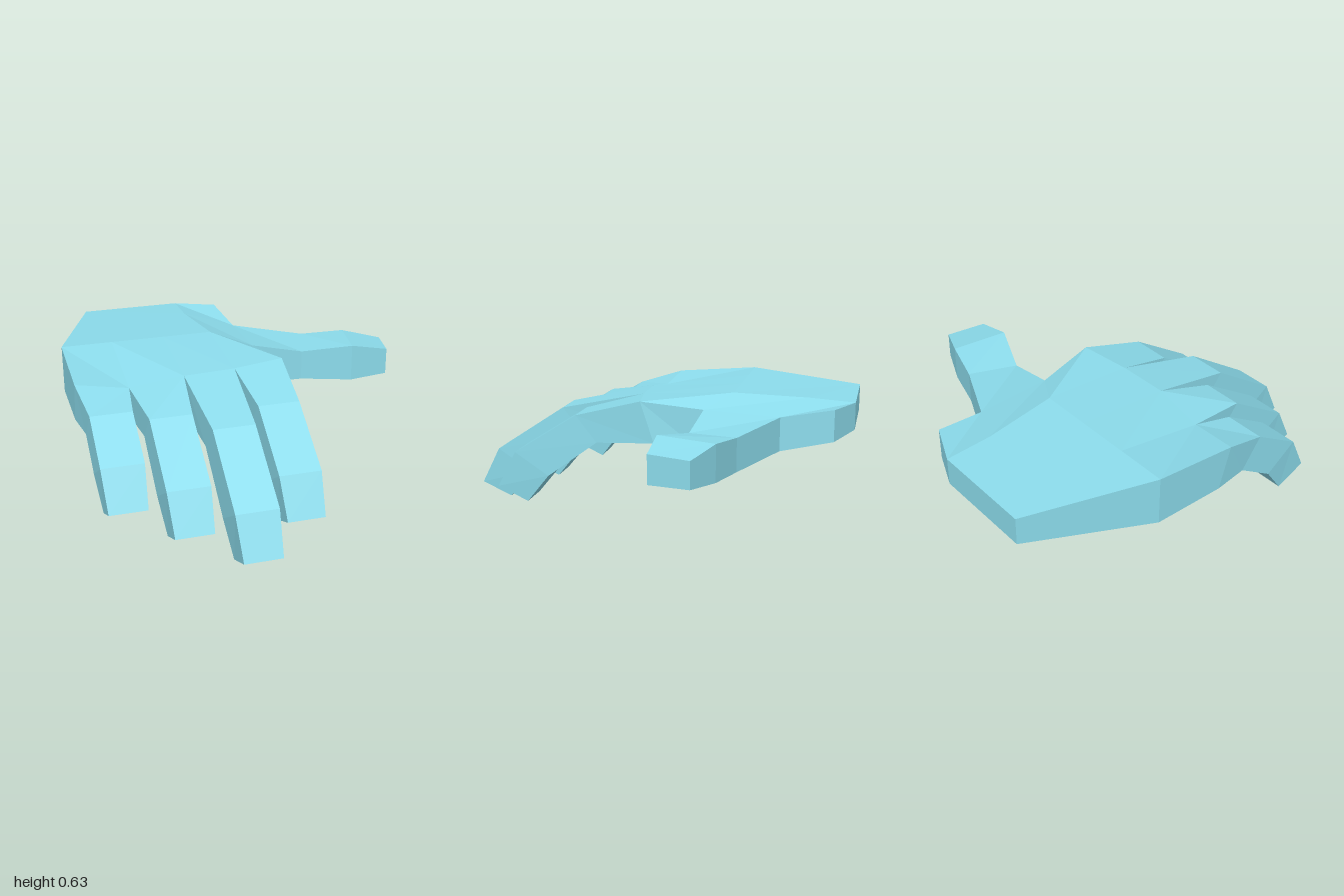
import * as THREE from 'three';

const material = new THREE.MeshStandardMaterial({ color: 0x8cdcec, flatShading: true });

// Flat-shaded mesh from polygons, each a list of [x, y, z] corners
function polyMesh(name, polygons) {
  const pos = [];
  for (const p of polygons)
    for (let i = 1; i < p.length - 1; i++) pos.push(...p[0], ...p[i], ...p[i + 1]);
  const geo = new THREE.BufferGeometry();
  geo.setAttribute('position', new THREE.Float32BufferAttribute(pos, 3));
  geo.computeVertexNormals();
  const mesh = new THREE.Mesh(geo, material);
  mesh.name = name;
  return mesh;
}

// Skin a chain of four-cornered rings and close the far end
function loft(name, rings) {
  const polys = [rings.at(-1)];
  for (let k = 0; k < rings.length - 1; k++)
    for (let i = 0; i < 4; i++) {
      const j = (i + 1) % 4;
      polys.push([rings[k][i], rings[k][j], rings[k + 1][j], rings[k + 1][i]]);
    }
  return polyMesh(name, polys);
}

// Palm points: x, z, top height, bottom height, z of the bottom corner if shifted
const P = {
  wristR: [-0.66, -1, 0.6, 0.46], wristL: [-0.14, -1, 0.6, 0.46],
  heel: [0.07, -0.91, 0.6, 0.44], thumbBack: [0.11, -0.65, 0.56, 0.39],
  thumbFront: [0.11, -0.27, 0.58, 0.36], side: [-0.88, -0.39, 0.635, 0.39],
  row1: [-0.62, -0.39, 0.635, 0.39], row2: [-0.35, -0.39, 0.635, 0.385],
  row3: [-0.09, -0.39, 0.635, 0.375], mid: [-0.14, -0.77, 0.615, 0.42],
  k0: [-0.88, 0.04, 0.6, 0.39, -0.02], k1: [-0.62, 0.07, 0.565, 0.4, 0.02],
  k2: [-0.35, 0.09, 0.605, 0.41, 0.02], k3: [-0.09, 0.08, 0.61, 0.41, 0.02],
  k4: [0.17, 0.04, 0.62, 0.41, -0.03],
};
const top = (n) => [P[n][0], P[n][2], P[n][1]];
const bottom = (n) => [P[n][0], P[n][3], P[n][4] ?? P[n][1]];
const opening = (a, b) => [top(a), bottom(a), bottom(b), top(b)];

function palm() {
  const panels = [
    'wristR side row1 row2 row3 mid', 'wristR mid wristL', 'wristL mid thumbBack heel',
    'mid row3 thumbFront thumbBack', 'side k0 k1 row1', 'row1 k1 k2 row2',
    'row2 k2 k3 row3', 'row3 k3 k4 thumbFront',
  ].map((s) => s.split(' '));
  const walls = [['wristR', 'side'], ['side', 'k0'], ['k4', 'thumbFront'],
    ['thumbBack', 'heel'], ['heel', 'wristL'], ['wristL', 'wristR']];
  return polyMesh('palm', [
    ...panels.map((f) => f.map(top)),
    ...panels.map((f) => f.map(bottom).reverse()),
    ...walls.map(([a, b]) => opening(a, b)),
  ]);
}

// Finger joints: top z, top y, bottom z, bottom y
const shortJoints = [[0.27, 0.53, 0.16, 0.39], [0.52, 0.38, 0.35, 0.27], [0.62, 0.19, 0.465, 0.12]];
const mediumJoints = [[0.38, 0.53, 0.27, 0.395], [0.71, 0.32, 0.53, 0.205], [0.81, 0.13, 0.65, 0.058]];
const longJoints = [[0.53, 0.51, 0.42, 0.375], [0.9, 0.265, 0.72, 0.15], [1, 0.07, 0.84, 0]];

function finger(name, index, x, joints) {
  const rings = [opening('k' + index, 'k' + (index + 1))];
  joints.forEach(([zt, yt, zb, yb], i) => {
    const wt = i === 2 ? 0.092 : 0.103, wb = i === 2 ? 0.092 : 0.11;
    rings.push([[x - wt, yt, zt], [x - wb, yb, zb], [x + wb, yb, zb], [x + wt, yt, zt]]);
  });
  return loft(name, rings);
}

function thumb() {
  // Front x, z, top y, then back x, z, top y, then the shared bottom height
  const joints = [
    [0.38, -0.25, 0.523, 0.46, -0.49, 0.53, 0.365],
    [0.63, -0.15, 0.565, 0.68, -0.43, 0.55, 0.37],
    [0.83, -0.15, 0.525, 0.87, -0.35, 0.515, 0.385],
  ];
  return loft('thumb', [
    opening('thumbFront', 'thumbBack'),
    ...joints.map(([fx, fz, fy, bx, bz, by, y]) =>
      [[fx, fy, fz], [fx, y, fz], [bx, y, bz], [bx, by, bz]]),
  ]);
}

export function createModel() {
  const hand = new THREE.Group();
  hand.name = 'hand';
  hand.add(
    palm(),
    finger('littleFinger', 0, -0.745, shortJoints),
    finger('ringFinger', 1, -0.483, mediumJoints),
    finger('middleFinger', 2, -0.22, longJoints),
    finger('indexFinger', 3, 0.045, mediumJoints),
    thumb(),
  );
  return hand;
}
